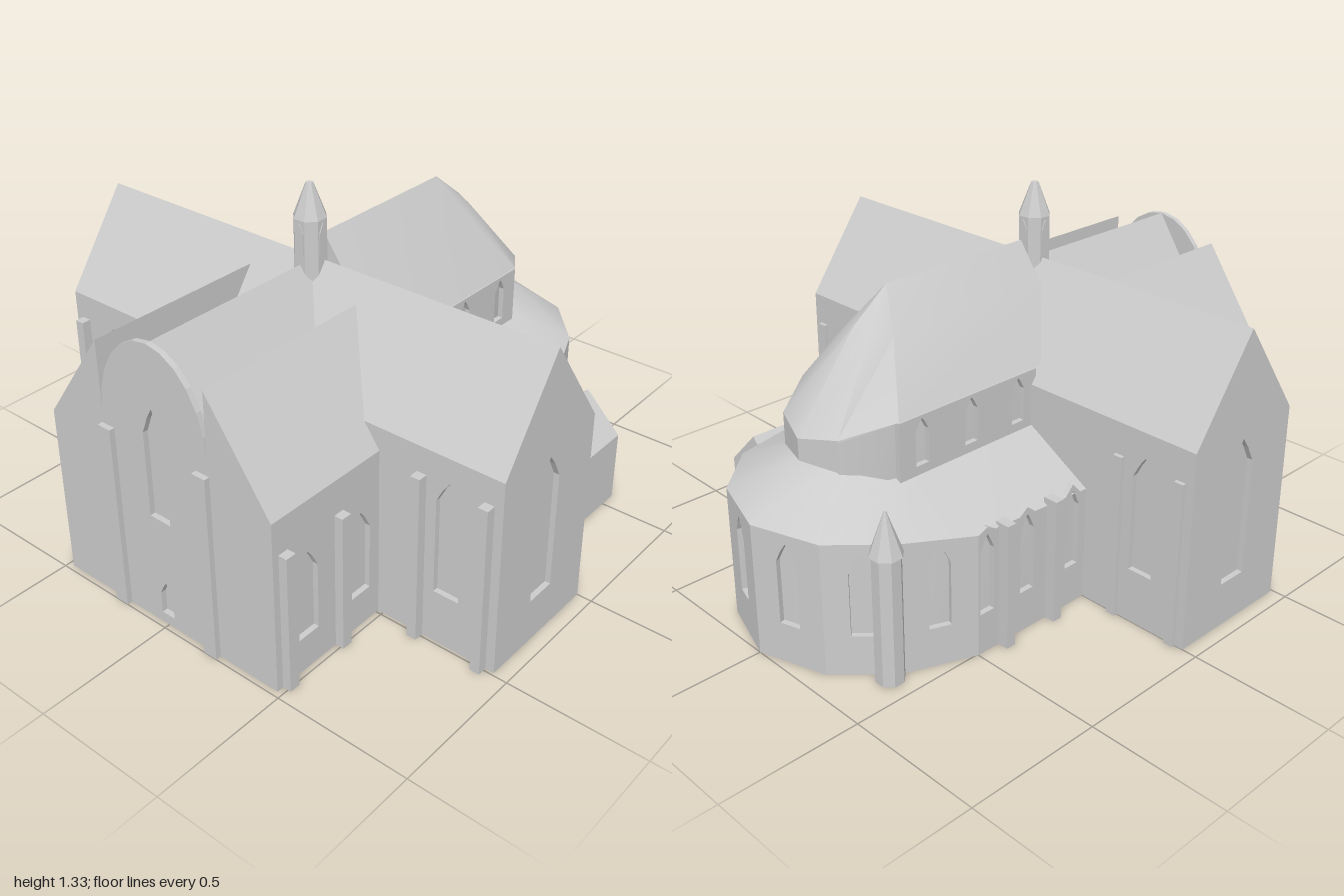
import * as THREE from 'three';
import { toCreasedNormals } from 'three/addons/utils/BufferGeometryUtils.js';

const T = 0.02; // depth of window reveals

export function createModel() {
  const root = new THREE.Group();
  root.name = 'church';
  const stone = new THREE.MeshStandardMaterial({ color: 0xcccccc });
  stone.name = 'pale stone';

  const add = (name, geo, x = 0, y = 0, z = 0, ry = 0) => {
    const m = new THREE.Mesh(geo, stone);
    m.name = name;
    m.position.set(x, y, z);
    m.rotation.y = ry;
    root.add(m);
    return m;
  };
  const box = (name, x0, x1, h, z0, z1) =>
    add(name, new THREE.BoxGeometry(x1 - x0, h, z1 - z0), (x0 + x1) / 2, h / 2, (z0 + z1) / 2);
  const poly = pts => new THREE.Shape(pts.map(p => new THREE.Vector2(p[0], p[1])));
  const extrude = (shape, depth) => new THREE.ExtrudeGeometry(shape, { depth, bevelEnabled: false });

  // pointed window outline: centre, sill, spring, tip, width
  const lancet = ([u, y0, ys, yt, w]) => [
    [u - w / 2, y0], [u + w / 2, y0], [u + w / 2, ys], [u + w / 4, ys + (yt - ys) * 0.58],
    [u, yt], [u - w / 4, ys + (yt - ys) * 0.58], [u - w / 2, ys]];

  // wall panel whose outer face runs from a to b (x, z); top lists points from b back to a
  function wall(name, a, b, top, wins = [], base = 0) {
    const dx = b[0] - a[0], dz = b[1] - a[1], L = Math.hypot(dx, dz);
    const shape = poly([[0, base], [L, base], ...top]);
    wins.forEach(w => shape.holes.push(poly(lancet(w))));
    const geo = extrude(shape, T);
    geo.translate(0, 0, -T);
    add(name, geo, a[0], 0, a[1], Math.atan2(-dz, dx));
  }
  // level wall on the front, and its mirror on the back
  function wallPair(name, a, b, h, wins, base = 0) {
    const L = b[0] - a[0], top = [[L, h], [0, h]];
    wall(name, a, b, top, wins, base);
    wall(name, [b[0], -b[1]], [a[0], -a[1]], top, wins.map(w => [L - w[0], ...w.slice(1)]), base);
  }

  // solid from stacked half outlines of [x, z, y], mirrored in z
  function loft(name, halves, cap) {
    const rings = halves.map(h => {
      const back = h.filter((p, i) => i < h.length - 1).reverse().map(p => [p[0], -p[1], p[2]]);
      return [...h, ...back].map(p => [p[0], p[2], p[1]]);
    });
    const pos = [], n = rings[0].length;
    for (let r = 0; r + 1 < rings.length; r++) {
      for (let i = 0; i < n; i++) {
        const j = (i + 1) % n, lo = rings[r], hi = rings[r + 1];
        pos.push(...lo[i], ...lo[j], ...hi[j], ...lo[i], ...hi[j], ...hi[i]);
      }
    }
    if (cap) for (let i = 1; i + 1 < n; i++) pos.push(...rings[0][0], ...rings[0][i + 1], ...rings[0][i]);
    const geo = new THREE.BufferGeometry();
    geo.setAttribute('position', new THREE.Float32BufferAttribute(pos, 3));
    add(name, toCreasedNormals(geo, 0.6));
  }
  const at = (outline, y) => outline.map((p, i) => [p[0], p[1], Array.isArray(y) ? y[i] : y]);

  // transept: gabled body, gable ends, side walls
  const cx = -0.245, hw = 0.245;
  const gable = extrude(poly([[-hw + T, 0], [hw - T, 0], [hw - T, 0.7], [hw, 0.7], [hw, 0.72],
    [0, 1.065], [-hw, 0.72], [-hw, 0.7], [-hw + T, 0.7]]), 1.85);
  add('transeptBody', gable, cx, 0, -0.925);
  const gableTop = [[2 * hw, 0.72], [hw, 1.065], [0, 0.72]];
  const gableWindow = [[hw, 0.165, 0.59, 0.685, 0.115]];
  wall('transeptGable', [-0.49, 0.945], [0, 0.945], gableTop, gableWindow);
  wall('transeptGable', [0, -0.945], [-0.49, -0.945], gableTop, gableWindow);
  const sideTop = [[1.85, 0.7], [0, 0.7]];
  const sideWindows = [0.175, 1.675].map(u => [u, 0.2, 0.55, 0.63, 0.095]);
  wall('transeptSide', [0, 0.925], [0, -0.925], sideTop, sideWindows);
  wall('transeptSide', [-0.49, -0.925], [-0.49, 0.925], sideTop, sideWindows);

  // nave: inner gable roof between two raised outer roofs
  const half = [[0.46, 0], [0.46, 0.61], [0.48, 0.61], [0.48, 0.635], [0.23, 0.985], [0.23, 0.72]];
  const mirror = half.map(p => [-p[0], p[1]]).reverse();
  add('naveBody', extrude(poly([...half, [0, 1.055], ...mirror]), 0.715), -0.96, 0, 0, Math.PI / 2);
  wallPair('naveWall', [-0.96, 0.48], [-0.48, 0.48], 0.61,
    [0.13, 0.38].map(u => [u, 0.13, 0.375, 0.45, 0.09]));
  const arch = [];
  for (let i = 0; i <= 12; i++) {
    const t = i * Math.PI / 12;
    arch.push([0.48 + 0.229 * Math.cos(t), 0.74 + 0.315 * Math.sin(t)]);
  }
  wall('westFront', [-0.98, -0.48], [-0.98, 0.48],
    [[0.96, 0.635], [0.71, 0.985], ...arch, [0.25, 0.985], [0, 0.635]],
    [[0.48, 0.42, 0.73, 0.83, 0.09], [0.48, 0.04, 0.12, 0.17, 0.055]]);

  // choir with polygonal end
  const choir = [[-0.19, 0.245], [0.59, 0.245], [0.75, 0.14], [0.8, 0]];
  const inset = [[-0.19, 0.225], [0.59, 0.225], [0.75, 0.14], [0.8, 0]];
  const eave = [0.78, 0.78, 0.735, 0.71];
  loft('choir', [
    at(inset, 0.4), at(inset, eave.map(y => y - 0.01)), at(choir, eave),
    [[-0.19, 0.1, 0.99], [0.48, 0.1, 0.99], [0.54, 0.06, 1.005], [0.56, 0, 1.02]],
    [[-0.19, 0, 1.13], [0.42, 0, 1.13], [0.42, 0, 1.13], [0.42, 0, 1.13]]]);
  wallPair('choirWall', [-0.02, 0.245], [0.59, 0.245], 0.775,
    [0.085, 0.3, 0.515].map(u => [u, 0.6, 0.72, 0.765, 0.055]), 0.5);

  // aisles and ambulatory around the choir
  const outer = [[-0.05, 0.505], [0.5, 0.505], [0.74, 0.41], [0.92, 0.245], [1, 0]];
  const core = [[-0.05, 0.485], [0.495, 0.485], [0.731, 0.391], [0.903, 0.235], [0.979, 0]];
  const rim = [0.42, 0.45, 0.48, 0.48, 0.48];
  loft('ambulatory', [
    at(core, 0), at(core, rim.map(y => y - 0.004)), at(outer, rim),
    [[-0.05, 0.24, 0.57], [0.5, 0.24, 0.57], [0.62, 0.22, 0.58], [0.75, 0.13, 0.625], [0.79, 0, 0.64]]], true);
  const round = [...outer, ...outer.slice(0, -1).reverse().map(p => [p[0], -p[1]])];
  const rims = [...rim, ...rim.slice(0, -1).reverse()];
  for (let i = 0; i < 8; i++) {
    const a = round[i], b = round[i + 1], L = Math.hypot(b[0] - a[0], b[1] - a[1]);
    const y0 = rims[i], y1 = rims[i + 1];
    if (i > 0 && i < 7) {
      wall('ambulatoryWall', a, b, [[L, y1], [0, y0]], [[L / 2, 0.145, 0.375, 0.445, 0.075]]);
      continue;
    }
    // side walls with small peaks over the windows
    const us = [0.115, 0.33, 0.51].map(u => (i ? L - u : u)).sort((p, q) => q - p);
    const h = u => y0 + (y1 - y0) * u / L;
    const peaks = us.flatMap(u => [[u + 0.035, h(u + 0.035)], [u, 0.465], [u - 0.035, h(u - 0.035)]]);
    wall('aisleWall', a, b, [[L, y1], ...peaks, [0, y0]], us.map(u => [u, 0.15, 0.38, 0.44, 0.06]));
  }

  // annex beside the front aisle
  add('annex', extrude(poly([[-0.745, 0], [-0.47, 0], [-0.47, 0.27], [-0.605, 0.41], [-0.745, 0.27]]), 0.535),
    0.03, 0, 0, Math.PI / 2);

  // buttresses
  for (const s of [1, -1]) {
    const zBox = (x, w, z0, z1, h) =>
      box('buttress', x - w / 2, x + w / 2, h, Math.min(s * z0, s * z1), Math.max(s * z0, s * z1));
    for (const x of [-0.935, -0.685]) zBox(x, 0.04, 0.47, 0.512, 0.51);
    for (const x of [0.17, 0.39]) zBox(x, 0.037, 0.49, 0.545, 0.46);
    for (const z of [0.645, 0.895]) {
      zBox(-0.505, 0.04, z - 0.018, z + 0.018, 0.625);
      zBox(0, 0.03, z - 0.018, z + 0.018, 0.605);
    }
    zBox(-0.985, 0.03, 0.18, 0.235, 0.69);
  }

  // stair turret
  const turret = (name, r0, r1, y0, y1, x, z) => add(name,
    new THREE.CylinderGeometry(r1, r0, y1 - y0, 8).toNonIndexed(), x, (y0 + y1) / 2, z, Math.PI / 8)
    .geometry.computeVertexNormals();
  turret('stairTurret', 0.05, 0.05, 0, 0.46, 0.785, -0.4);
  turret('turretSpire', 0.057, 0.004, 0.46, 0.61, 0.785, -0.4);

  // ridge turret over the crossing
  turret('ridgeTurret', 0.057, 0.057, 0.95, 1.21, -0.255, 0);
  turret('ridgeSpire', 0.057, 0.013, 1.21, 1.325, -0.255, 0);
  for (let i = 0; i < 4; i++) {
    const geo = extrude(poly(lancet([0, 1.09, 1.165, 1.2, 0.034])), 0.005);
    geo.translate(0, 0, 0.051);
    add('ridgeTurretWindow', geo, -0.255, 0, 0, i * Math.PI / 2);
  }
  return root;
}
